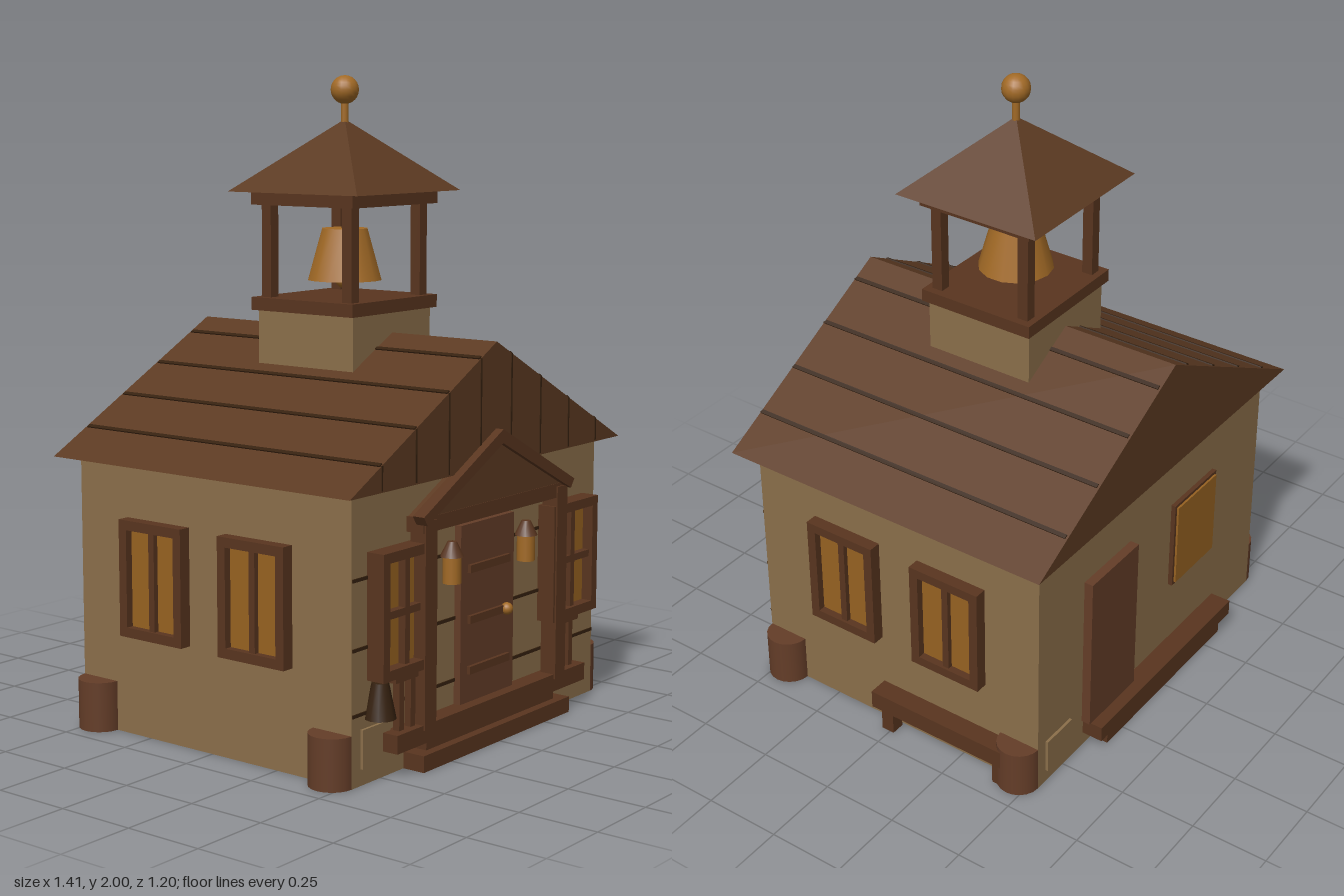
import * as THREE from 'three';

const mat = (name, color) => {
  const m = new THREE.MeshStandardMaterial({ color });
  m.name = name;
  return m;
};

export function createModel() {
  const wall = mat('tan wall', 0x8b6f4a);
  const roof = mat('brown roof', 0x5c3a22);
  const trim = mat('brown trim', 0x59351f);
  const doorWood = mat('door wood', 0x643d28);
  const dark = mat('dark brown', 0x36210f);
  const gold = mat('brass', 0xa26a26);
  const glass = mat('amber glass', 0x976221);

  const model = new THREE.Group();
  model.name = 'schoolhouse';

  const add = (name, geo, material, parent = model) => {
    const m = new THREE.Mesh(geo, material);
    m.name = name;
    parent.add(m);
    return m;
  };
  // box given by its minimum and maximum on each axis
  const box = (name, material, x0, x1, y0, y1, z0, z1, parent = model) => {
    const m = add(name, new THREE.BoxGeometry(x1 - x0, y1 - y0, z1 - z0), material, parent);
    m.position.set((x0 + x1) / 2, (y0 + y1) / 2, (z0 + z1) / 2);
    return m;
  };
  const cyl = (name, material, rTop, rBottom, y0, y1, x, z, sides = 16) => {
    const m = add(name, new THREE.CylinderGeometry(rTop, rBottom, y1 - y0, sides), material);
    m.position.set(x, (y0 + y1) / 2, z);
    return m;
  };
  const ball = (name, material, r, x, y, z) => {
    const m = add(name, new THREE.SphereGeometry(r, 16, 12), material);
    m.position.set(x, y, z);
    return m;
  };
  // polygon in the xy plane, extruded from z0 to z1
  const prism = (name, material, points, z0, z1) => {
    const shape = new THREE.Shape(points.map(([x, y]) => new THREE.Vector2(x, y)));
    const geo = new THREE.ExtrudeGeometry(shape, { depth: z1 - z0, bevelEnabled: false });
    geo.translate(0, 0, z0);
    return add(name, geo, material);
  };

  // main hall with board lines on the front
  box('walls', wall, -0.635, 0.635, 0, 0.85, -0.53, 0.525);
  for (const y of [0.21, 0.4, 0.6]) box('boardLine', dark, -0.633, 0.633, y - 0.005, y + 0.005, 0.523, 0.529);

  // gable roof with seams running along the ridge
  prism('roof', roof, [[-0.705, 0.845], [0.705, 0.845], [0, 1.217]], -0.577, 0.573);
  const slope = Math.atan2(0.372, 0.705);
  for (const s of [-1, 1]) {
    for (const x of [0.08, 0.24, 0.4, 0.56]) {
      const y = 1.217 - x * Math.tan(slope);
      const seam = add('roofSeam', new THREE.BoxGeometry(0.013, 0.008, 1.14), dark);
      seam.position.set(s * x, y, 0);
      seam.rotation.z = -s * slope;
      box('gableSeam', dark, s * x - 0.003, s * x + 0.003, 0.85, y, 0.57, 0.575);
    }
  }

  // belfry
  box('belfryBase', wall, -0.196, 0.196, 1.08, 1.285, -0.185, 0.185);
  box('belfryFloor', trim, -0.215, 0.215, 1.28, 1.32, -0.198, 0.198);
  box('belfryBeam', trim, -0.215, 0.215, 1.605, 1.645, -0.198, 0.198);
  for (const x of [-0.172, 0.172])
    for (const z of [-0.158, 0.158])
      box('belfryPost', trim, x - 0.018, x + 0.018, 1.31, 1.61, z - 0.018, z + 0.018);
  const spire = new THREE.ConeGeometry(Math.SQRT2, 0.22, 4).rotateY(Math.PI / 4).scale(0.262, 1, 0.252).toNonIndexed();
  spire.computeVertexNormals();
  add('belfryRoof', spire, roof).position.y = 1.755;
  cyl('finialRod', gold, 0.012, 0.012, 1.84, 1.93, 0, 0, 10);
  ball('finialBall', gold, 0.044, 0, 1.955, 0);
  cyl('bell', gold, 0.072, 0.117, 1.37, 1.53, 0, 0, 14);
  ball('bellClapper', gold, 0.032, 0, 1.375, 0);
  cyl('bellHanger', trim, 0.01, 0.01, 1.53, 1.61, 0, 0, 8);

  // front door
  box('frontDoor', doorWood, -0.14, 0.14, 0.13, 0.68, 0.52, 0.548);
  for (const y of [0.235, 0.39, 0.545]) box('doorBar', trim, -0.105, 0.105, y - 0.012, y + 0.012, 0.545, 0.56);
  ball('doorKnob', gold, 0.019, 0.085, 0.39, 0.562);

  // porch
  box('porchStep', trim, -0.39, 0.39, 0, 0.05, 0.5, 0.598);
  box('porchRiser', trim, -0.34, 0.34, 0.05, 0.08, 0.5, 0.57);
  box('porchFloor', trim, -0.5, 0.5, 0.08, 0.135, 0.5, 0.585);
  box('porchLintel', trim, -0.38, 0.38, 0.7, 0.745, 0.52, 0.585);
  prism('pediment', roof, [[-0.38, 0.74], [0.38, 0.74], [0, 0.935]], 0.52, 0.583);
  for (const s of [-1, 1]) {
    const rake = [[0, 0.957], [0, 0.915], [s * 0.38, 0.725], [s * 0.398, 0.752]];
    prism('porchRake', trim, s > 0 ? rake.reverse() : rake, 0.56, 0.6);
    const px = s * 0.347;
    box('porchPost', trim, px - 0.028, px + 0.028, 0.12, 0.735, 0.535, 0.59);
    for (const x of [0.395, 0.45]) box('porchBaluster', trim, s * x - 0.011, s * x + 0.011, 0.13, 0.29, 0.54, 0.562);
    box('porchRail', trim, s * 0.425 - 0.06, s * 0.425 + 0.06, 0.28, 0.3, 0.535, 0.567);
    // wall lantern
    const lx = s * 0.196;
    cyl('lantern', gold, 0.028, 0.028, 0.52, 0.6, lx, 0.555, 12);
    cyl('lanternCap', trim, 0.014, 0.036, 0.6, 0.645, lx, 0.555, 12);
  }

  // window facing +z, centred on its own origin
  const makeWindow = (name, w, h, depth, crossbar) => {
    const g = new THREE.Group();
    g.name = name;
    const x = w / 2, y = h / 2, t = 0.03;
    box('pane', glass, -x + t, x - t, -y + t, y - t, -0.01, depth * 0.4, g);
    for (const s of [-1, 1]) {
      box('frameSide', trim, s * (x - t / 2) - t / 2, s * (x - t / 2) + t / 2, -y, y, -0.01, depth, g);
      box('frameRail', trim, -x + t, x - t, s * (y - t / 2) - t / 2, s * (y - t / 2) + t / 2, -0.01, depth, g);
    }
    box('mullion', trim, -0.011, 0.011, -y + t, y - t, 0, depth * 0.8, g);
    if (crossbar) box('crossbar', trim, -x + t, x - t, -0.011, 0.011, 0, depth * 0.8, g);
    model.add(g);
    return g;
  };
  for (const s of [-1, 1]) {
    makeWindow('frontWindow', 0.255, 0.37, 0.06, true).position.set(s * 0.438, 0.487, 0.525);
    for (const z of [0.185, -0.21]) {
      const w = makeWindow('sideWindow', 0.25, 0.36, 0.04, false);
      w.position.set(s * 0.635, 0.495, z);
      w.rotation.y = s * Math.PI / 2;
    }
    // round corner stones
    for (const z of [0.455, -0.46]) cyl('cornerPost', doorWood, 0.07, 0.07, 0, 0.155, s * 0.635, z, 20);
  }

  // hand bell and wall plates
  cyl('handBell', dark, 0.025, 0.047, 0.19, 0.295, -0.535, 0.55, 12);
  box('frontPlate', wall, -0.595, -0.465, 0.05, 0.165, 0.52, 0.534);
  box('backPlate', wall, 0.465, 0.595, 0.045, 0.16, -0.539, -0.525);

  // back door, back window and steps
  box('backDoor', doorWood, 0.143, 0.397, 0.1, 0.64, -0.56, -0.52);
  box('backWindowFrame', trim, -0.345, -0.095, 0.325, 0.635, -0.545, -0.52);
  box('backWindowPane', glass, -0.335, -0.105, 0.335, 0.625, -0.552, -0.54);
  box('backStepLower', trim, -0.34, 0.34, 0, 0.05, -0.59, -0.5);
  box('backStepUpper', trim, -0.39, 0.39, 0.048, 0.1, -0.6, -0.5);

  // bench along the left wall
  box('benchSeat', trim, 0.62, 0.7, 0.08, 0.14, -0.475, 0.06);
  for (const z of [0.008, -0.42]) box('benchLeg', trim, 0.645, 0.69, 0, 0.085, z - 0.022, z + 0.022);

  return model;
}
